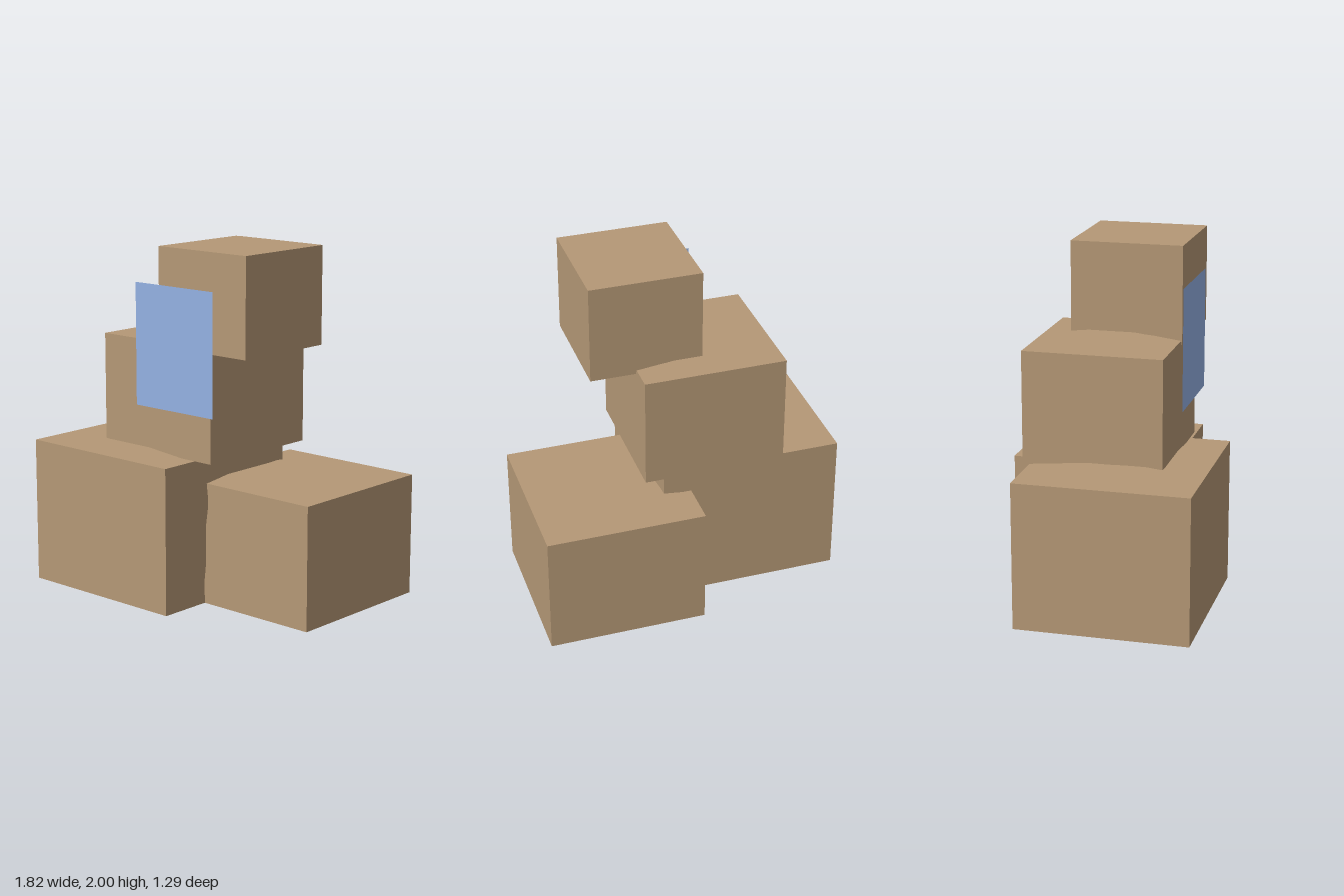
import * as THREE from 'three';

const cardboard = new THREE.MeshStandardMaterial({ color: 0xb59876 });
cardboard.name = 'cardboard brown';
const paper = new THREE.MeshStandardMaterial({ color: 0x94b1e3, side: THREE.DoubleSide });
paper.name = 'label blue';

const BULGE = 0.034;

// Box whose sides and top swell in the middle third; the straight edges,
// flat base and crisp face normals of the plain box are kept.
function bulgedBox(name, [x0, x1], [y0, y1], [z0, z1]) {
  const size = [x1 - x0, y1 - y0, z1 - z0];
  const geo = new THREE.BoxGeometry(...size, 3, 3, 3);
  const pos = geo.attributes.position;
  const nor = geo.attributes.normal;
  for (let i = 0; i < pos.count; i++) {
    if (nor.getY(i) < -0.5) continue;
    const p = [pos.getX(i), pos.getY(i), pos.getZ(i)];
    const borders = p.filter((v, k) => Math.abs(v) > size[k] * 0.49).length;
    if (borders > 1) continue; // on a box edge
    pos.setXYZ(i,
      p[0] + nor.getX(i) * BULGE,
      p[1] + nor.getY(i) * BULGE,
      p[2] + nor.getZ(i) * BULGE);
  }
  const mesh = new THREE.Mesh(geo, cardboard);
  mesh.name = name;
  mesh.position.set((x0 + x1) / 2, (y0 + y1) / 2, (z0 + z1) / 2);
  return mesh;
}

export function createModel() {
  const group = new THREE.Group();
  group.name = 'boxStack';

  // Two boxes on the floor and two stacked above
  group.add(
    bulgedBox('largeFloorBox', [-0.875, 0.145], [0, 0.82], [-0.357, 0.608]),
    bulgedBox('smallFloorBox', [-0.013, 0.873], [0, 0.684], [-0.61, 0.3]),
    bulgedBox('middleBox', [-0.535, 0.26], [0.82, 1.445], [-0.395, 0.378]),
    bulgedBox('topBox', [-0.11, 0.514], [1.422, 1.967], [-0.24, 0.384]),
  );

  // Flat sheet on the front of the stack
  const sheet = new THREE.Mesh(new THREE.PlaneGeometry(0.564, 0.68), paper);
  sheet.name = 'sheet';
  sheet.position.set(0.032, 1.424, 0.42);
  group.add(sheet);

  return group;
}
